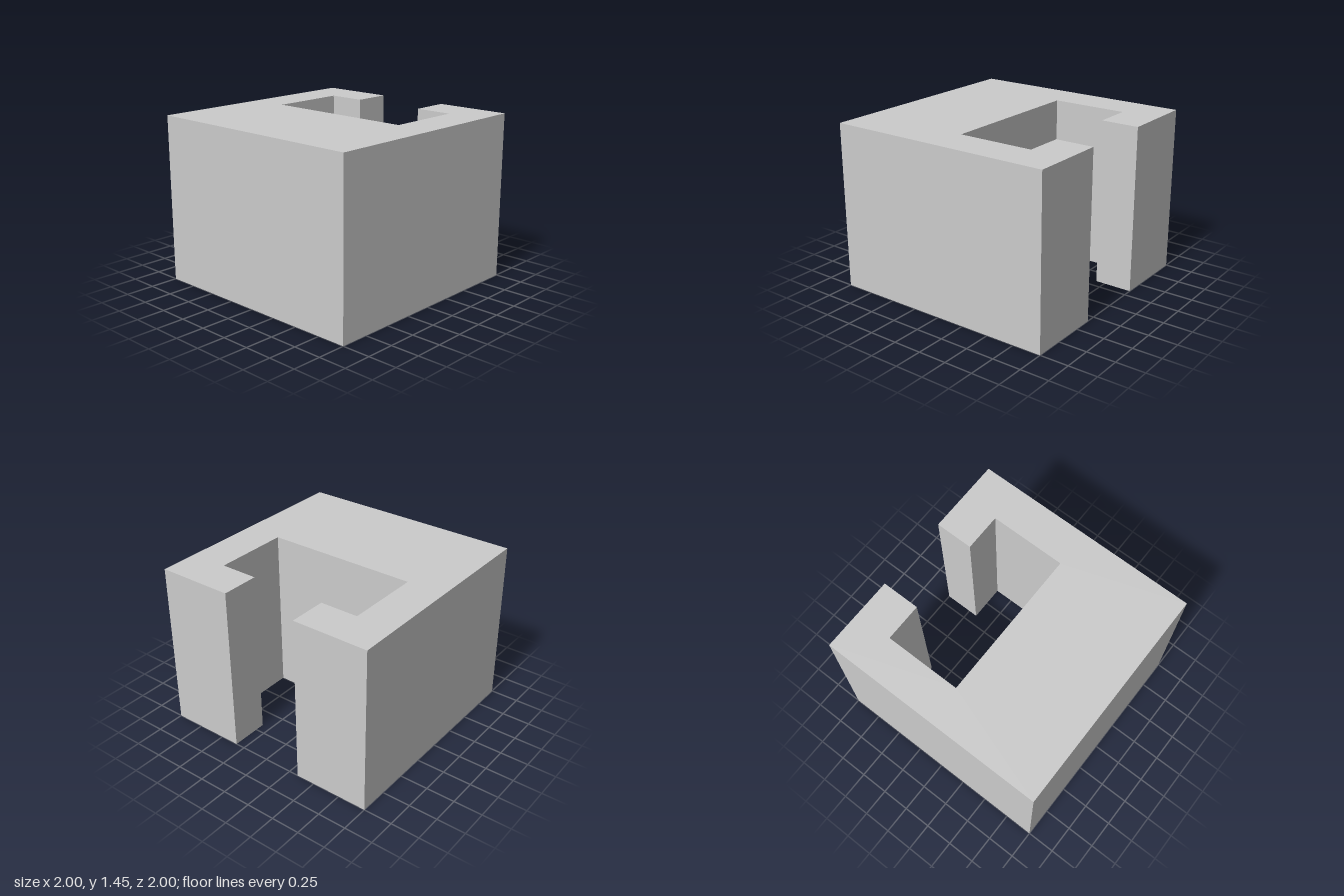
import * as THREE from 'three';

const HEIGHT = 1.453;

export function createModel() {
  const group = new THREE.Group();
  group.name = 'slottedBlock';

  // Half of the plan outline (x, -z), from the front middle round to the slot floor
  const half = [[1, -1], [1, 1], [0.335, 1], [0.335, 0.667], [0.667, 0.667], [0.667, 0]];
  const mirrored = half.map(([x, y]) => [-x, y]).reverse();
  const outline = new THREE.Shape([...half, ...mirrored].map(([x, y]) => new THREE.Vector2(x, y)));

  // Block with a T-shaped slot open at the back, running its full height
  const geometry = new THREE.ExtrudeGeometry(outline, { depth: HEIGHT, bevelEnabled: false });
  geometry.rotateX(-Math.PI / 2);

  const block = new THREE.Mesh(
    geometry,
    new THREE.MeshStandardMaterial({ color: 0xcccccc, flatShading: true })
  );
  block.name = 'tSlotBlock';
  group.add(block);
  return group;
}
